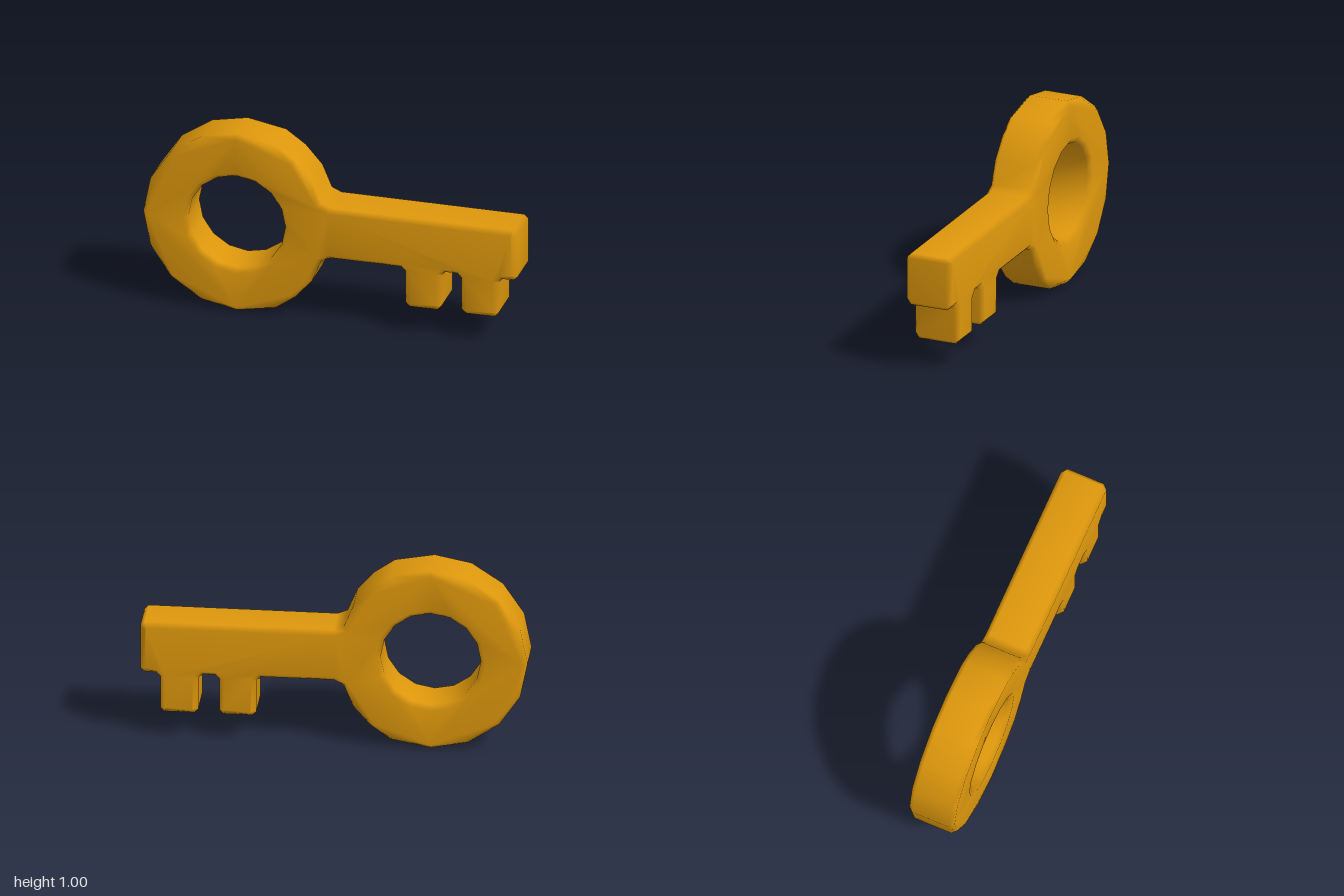
import * as THREE from 'three';
import { mergeVertices } from 'three/addons/utils/BufferGeometryUtils.js';

const BEVEL = 0.025;
const THICKNESS = 0.254;
const SHAFT_TOP = 0.643, SHAFT_BOTTOM = 0.36, TOOTH_BOTTOM = 0.14;

// Tooth outline, left to right, with chamfered corners
function tooth(x0, x1) {
  const c = 0.022;
  return [
    [x0 - c, SHAFT_BOTTOM], [x0, SHAFT_BOTTOM - c],
    [x0, TOOTH_BOTTOM + c], [x0 + c, TOOTH_BOTTOM],
    [x1 - c, TOOTH_BOTTOM], [x1, TOOTH_BOTTOM + c],
    [x1, SHAFT_BOTTOM - c], [x1 + c, SHAFT_BOTTOM],
  ];
}

export function createModel() {
  const group = new THREE.Group();
  group.name = 'key';
  const gold = new THREE.MeshStandardMaterial({ color: 0xdd970c });
  gold.name = 'gold';

  // Upper half of the round bow, from the neck round to the far left
  const bowTop = [
    [0, SHAFT_TOP], [-0.05, 0.665], [-0.1, 0.785], [-0.19, 0.888], [-0.295, 0.962],
    [-0.5, 1], [-0.69, 0.962], [-0.853, 0.853], [-0.962, 0.69],
  ];
  const bowBottom = bowTop.slice(1).reverse().map(([x, y]) => [x, 1 - y]);

  // Whole outline, anticlockwise: bow, neck, teeth, shaft end
  const outline = [
    ...bowTop, [-1, 0.5], ...bowBottom, [0, SHAFT_BOTTOM],
    ...tooth(0.4, 0.592), ...tooth(0.7, 0.897),
    [0.978, SHAFT_BOTTOM], [1, SHAFT_BOTTOM + 0.022],
    [1, SHAFT_TOP - 0.022], [0.978, SHAFT_TOP],
  ];
  const shape = new THREE.Shape(outline.map(([x, y]) => new THREE.Vector2(x, y)));

  // Sixteen-sided hole in the bow
  const hole = [];
  for (let i = 0; i < 16; i++) {
    const a = -i * Math.PI / 8;
    hole.push(new THREE.Vector2(-0.5 + 0.259 * Math.cos(a), 0.502 + 0.259 * Math.sin(a)));
  }
  shape.holes.push(new THREE.Path(hole));

  // Solid body with a single chamfer along every edge
  let geometry = new THREE.ExtrudeGeometry(shape, {
    depth: THICKNESS - 2 * BEVEL,
    bevelEnabled: true,
    bevelThickness: BEVEL,
    bevelSize: BEVEL,
    bevelOffset: -BEVEL,
    bevelSegments: 1,
    curveSegments: 1,
  });
  geometry.translate(0, 0, BEVEL - THICKNESS / 2);

  // Shared vertices give soft shading over the chamfers
  geometry.deleteAttribute('uv');
  geometry.deleteAttribute('normal');
  geometry.clearGroups();
  geometry = mergeVertices(geometry, 1e-4);
  geometry.computeVertexNormals();

  const body = new THREE.Mesh(geometry, gold);
  body.name = 'keyBody';
  group.add(body);
  return group;
}
